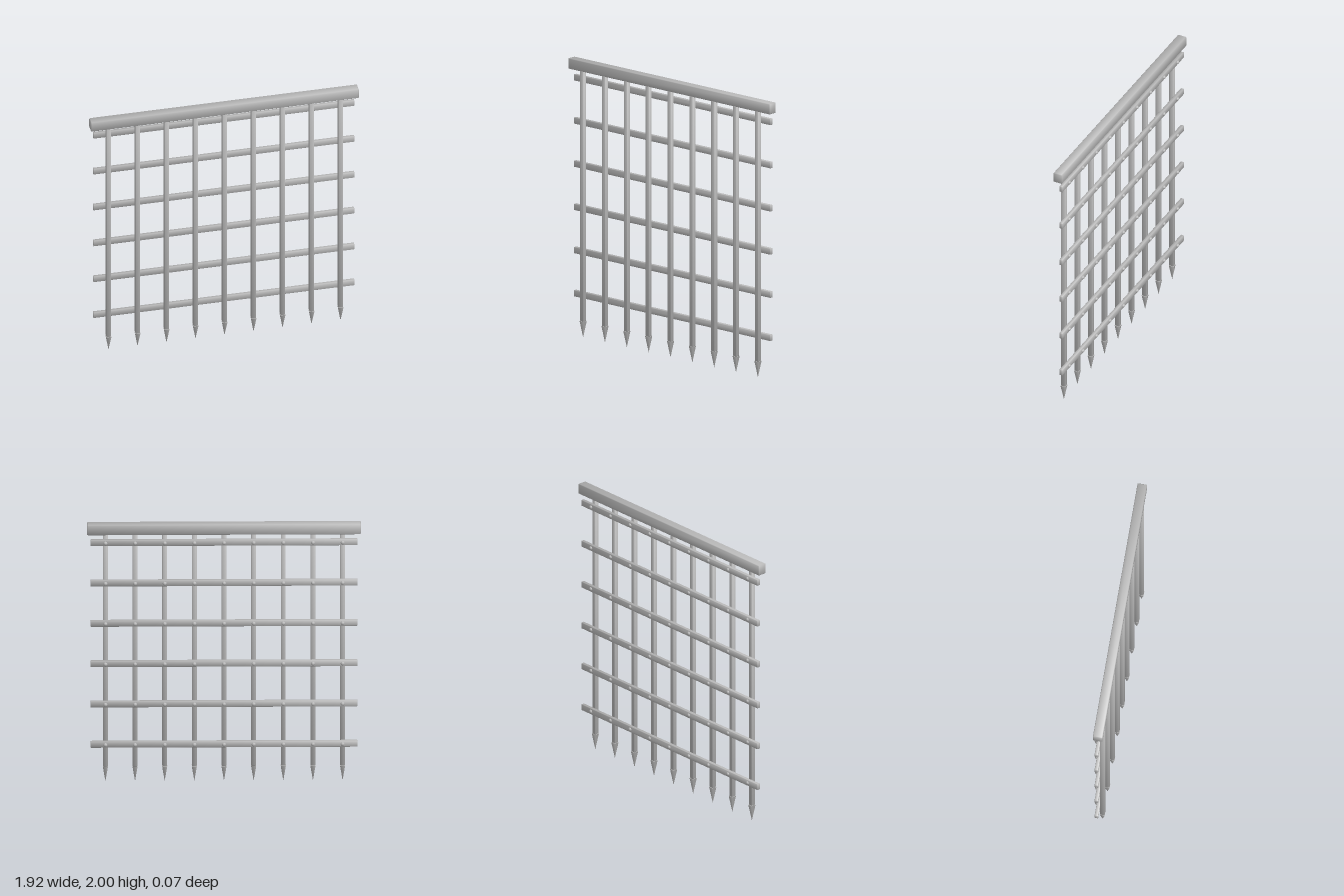
import * as THREE from 'three';
import { ConvexGeometry } from 'three/addons/geometries/ConvexGeometry.js';

// Box with chamfered edges and soft normals that lean outward at the rims
function chamferBox(w, h, d, c) {
  const half = [w / 2, h / 2, d / 2];
  const points = [];
  for (const sx of [-1, 1]) for (const sy of [-1, 1]) for (const sz of [-1, 1]) {
    for (let axis = 0; axis < 3; axis++) {
      const p = half.map((v, i) => (i === axis ? v : v - c));
      points.push(new THREE.Vector3(p[0] * sx, p[1] * sy, p[2] * sz));
    }
  }
  const geometry = new ConvexGeometry(points);
  const { position, normal } = geometry.attributes;
  const n = new THREE.Vector3();
  for (let i = 0; i < position.count; i++) {
    n.fromBufferAttribute(position, i);
    n.fromArray(n.toArray().map((v, k) =>
      Math.sign(v) * (Math.abs(v) > half[k] - c / 2 ? 2.8 : 1.09))).normalize();
    normal.setXYZ(i, n.x, n.y, n.z);
  }
  return geometry;
}

export function createModel() {
  const gate = new THREE.Group();
  gate.name = 'portcullis';
  const iron = new THREE.MeshStandardMaterial({ color: 0xb9b9b9 });
  iron.name = 'light grey iron';

  const add = (name, geometry, x, y, z) => {
    const mesh = new THREE.Mesh(geometry, iron);
    mesh.name = name;
    mesh.position.set(x, y, z);
    gate.add(mesh);
  };

  // Heavy beam across the top
  add('topBeam', chamferBox(1.916, 0.076, 0.068, 0.005), 0, 1.962, 0.002);

  const columns = Array.from({ length: 9 }, (_, i) => (i - 4) * 0.2075);
  const rows = Array.from({ length: 6 }, (_, i) => 0.299 + i * 0.312);
  const barZ = 0.017;

  // Square upright bars with pyramid points at the lower ends
  const bar = chamferBox(0.034, 1.82, 0.034, 0.004);
  const spike = new THREE.ConeGeometry(0.0255, 0.12, 4).rotateX(Math.PI).rotateY(Math.PI / 4);
  for (const x of columns) {
    add('uprightBar', bar, x, 1.03, barZ);
    add('spike', spike, x, 0.06, barZ);
  }

  // Flat crossbars behind the uprights, riveted at every crossing
  const crossbar = chamferBox(1.868, 0.045, 0.026, 0.003);
  const rivet = new THREE.SphereGeometry(0.015, 8, 6).rotateX(Math.PI / 2).scale(1, 1, 0.85);
  for (const y of rows) {
    add('crossbar', crossbar, 0, y, -0.011);
    for (const x of columns) add('rivet', rivet, x, y, -0.0235);
  }
  return gate;
}
